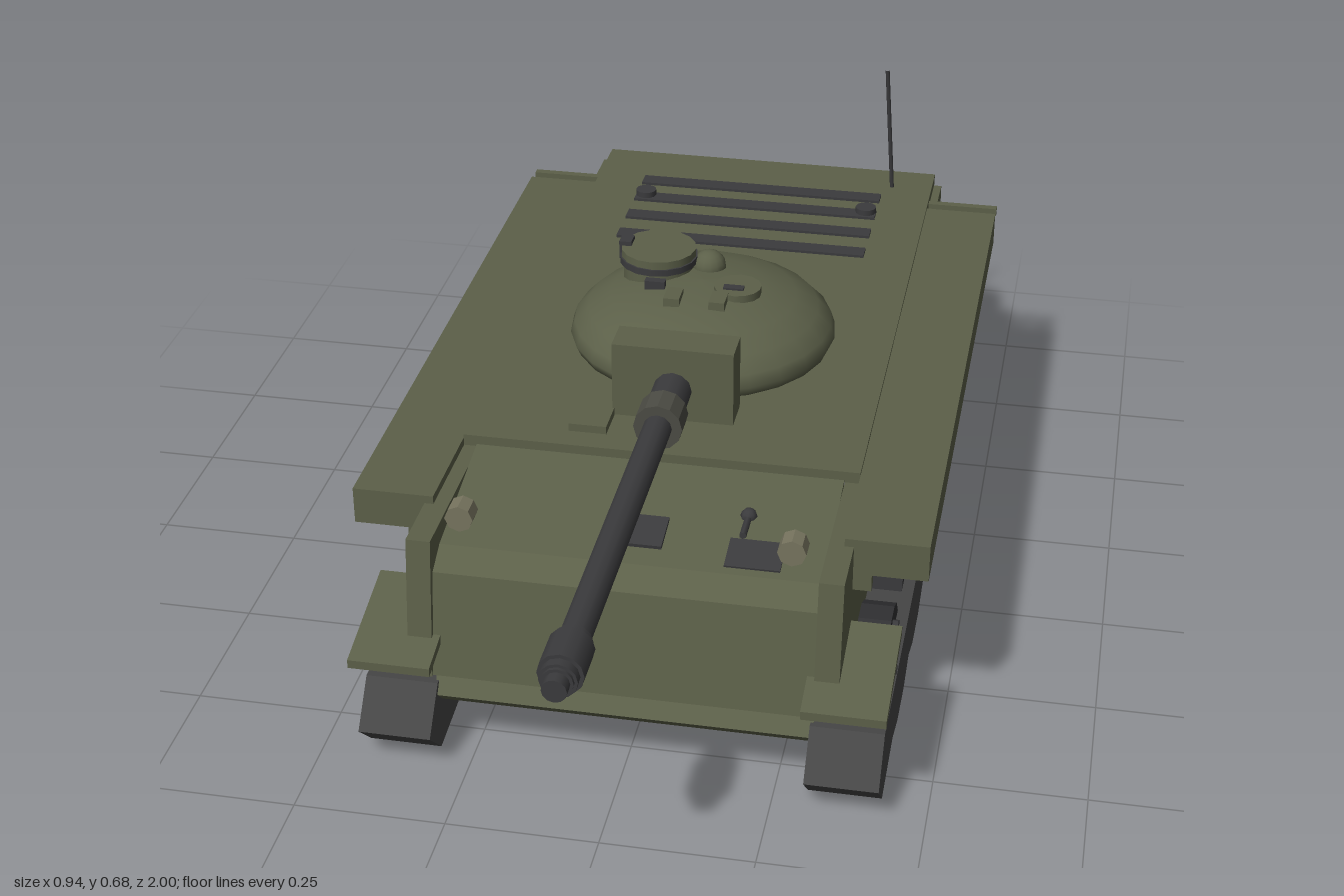
import * as THREE from 'three';

const mat = (color, extra = {}) => new THREE.MeshStandardMaterial({ color, ...extra });
const olive = mat(0x5c6049, { side: THREE.DoubleSide });
const flatOlive = mat(0x5c6049, { flatShading: true });
const steel = mat(0x3b3b3d);
const rubber = mat(0x464646, { flatShading: true });
const wheelMat = mat(0x303032, { flatShading: true });
const lampMat = mat(0x77745f, { flatShading: true });

export function createModel() {
  const model = new THREE.Group();

  const add = (name, geo, material, x = 0, y = 0, z = 0) => {
    const mesh = new THREE.Mesh(geo, material);
    mesh.name = name;
    mesh.position.set(x, y, z);
    model.add(mesh);
    return mesh;
  };
  // Box given by its limits
  const box = (name, material, x0, x1, y0, y1, z0, z1) =>
    add(name, new THREE.BoxGeometry(x1 - x0, y1 - y0, z1 - z0), material,
      (x0 + x1) / 2, (y0 + y1) / 2, (z0 + z1) / 2);
  // Side profile of [z, y] points, extruded across x and centred on x
  const profile = (name, material, points, x, width) => {
    const shape = new THREE.Shape(points.map(p => new THREE.Vector2(...p)));
    const geo = new THREE.ExtrudeGeometry(shape, { depth: width, bevelEnabled: false });
    geo.rotateY(-Math.PI / 2).translate(width / 2, 0, 0);
    return add(name, geo, material, x);
  };
  // Cylinder along one axis
  const cyl = (name, material, axis, r, length, x, y, z, sides = 12) => {
    const geo = new THREE.CylinderGeometry(r, r, length, sides);
    if (axis === 'x') geo.rotateZ(Math.PI / 2);
    if (axis === 'z') geo.rotateX(Math.PI / 2);
    return add(name, geo, material, x, y, z);
  };

  // Hull: an open-bottomed shell of plates
  box('hullRoof', olive, -0.335, 0.335, 0.4, 0.42, -0.93, 0.25);
  profile('upperFrontPlate', olive,
    [[0.26, 0.41], [0.5, 0.365], [0.545, 0.34], [0.575, 0.16], [0.555, 0.16], [0.53, 0.33], [0.26, 0.39]], 0, 0.62);
  profile('lowerFrontPlate', olive,
    [[0.55, 0.155], [0.575, 0.12], [0.55, 0.095], [0.515, 0.135]], 0, 0.62);
  profile('rearPlate', olive,
    [[-0.92, 0.41], [-0.945, 0.16], [-0.925, 0.16], [-0.9, 0.41]], 0, 0.62);

  for (const s of [-1, 1]) {
    // Box between two distances from the centre line, on side s
    const sideBox = (name, material, a, b, y0, y1, z0, z1) =>
      box(name, material, Math.min(s * a, s * b), Math.max(s * a, s * b), y0, y1, z0, z1);

    profile('hullSide', olive,
      [[0.55, 0.4], [0.58, 0.16], [-0.945, 0.16], [-0.92, 0.4]], s * 0.33, 0.04);

    // Sponson: lid, outer skirt and ends, open below
    sideBox('sponsonLid', olive, 0.335, 0.47, 0.4, 0.414, -0.78, 0.44);
    sideBox('sponsonSkirt', olive, 0.458, 0.47, 0.35, 0.4, -0.78, 0.44);
    for (const z of [-0.78, 0.428])
      sideBox('sponsonEnd', olive, 0.35, 0.458, 0.35, 0.4, z, z + 0.012);
    sideBox('sponsonBracket', olive, 0.35, 0.38, 0.32, 0.35, 0.42, 0.44);
    sideBox('rearSponsonPlate', olive, 0.335, 0.47, 0.395, 0.41, -0.825, -0.81);

    // Tilted mudguards
    for (const [z0, z1] of [[0.44, 0.635], [-0.82, -1]])
      profile('mudguard', flatOlive,
        [[z0, 0.26], [z1, 0.215], [z1, 0.2], [z0, 0.244]], s * 0.365, 0.135);

    // Track: flat top, bottom dipping under every road wheel
    const wheelZ = [0.31, 0.08, -0.15, -0.38, -0.61];
    const lower = [[-0.94, 0.012], [-0.84, 0.025]];
    for (const z of [...wheelZ].reverse())
      lower.push([z - 0.115, 0.03], [z - 0.045, 0.008], [z + 0.045, 0.008]);
    profile('track', rubber,
      [[0.57, 0.14], [-0.94, 0.14], [-1, 0.07], ...lower, [0.43, 0.028], [0.57, 0.012], [0.63, 0.07]],
      s * 0.365, 0.12);

    for (const z of wheelZ) {
      cyl('roadWheel', wheelMat, 'x', 0.097, 0.08, s * 0.365, 0.097, z, 14);
      cyl('wheelHub', steel, 'x', 0.013, 0.1, s * 0.365, 0.165, z, 8);
    }
    for (const z of [0.47, -0.84]) {
      cyl('endWheel', wheelMat, 'x', 0.085, 0.075, s * 0.38, 0.135, z, 14);
      for (let i = 0; i < 5; i++) {
        const a = Math.PI * (0.1 + 0.2 * i);
        cyl('wheelBolt', steel, 'x', 0.008, 0.09, s * 0.38, 0.135 + 0.06 * Math.sin(a), z + 0.06 * Math.cos(a), 6);
      }
    }
    // Side fittings
    for (const z of [0.19, -0.56])
      cyl('returnRoller', steel, 'x', 0.022, 0.06, s * 0.375, 0.22, z, 10);
    sideBox('sideTool', steel, 0.348, 0.358, 0.27, 0.282, -0.13, 0.045);
    sideBox('sideLocker', olive, 0.3, 0.365, 0.325, 0.362, -0.59, -0.485);

    // Rear fittings and headlights
    cyl('exhaust', steel, 'x', 0.022, 0.16, s * 0.18, 0.305, -0.97);
    sideBox('rearHook', steel, 0.285, 0.297, 0.3, 0.38, -0.975, -0.93);
    cyl('headlight', lampMat, 'z', 0.023, 0.035, s * 0.265, 0.44, 0.52, 8);
    cyl('engineCap', steel, 'y', 0.02, 0.016, s * 0.22, 0.428, -0.72);
  }
  box('rearBox', olive, -0.24, -0.02, 0.2, 0.275, -0.985, -0.93);

  // Roof and front deck fittings
  for (const z of [-0.79, -0.713, -0.63, -0.545])
    box('engineGrille', steel, -0.24, 0.24, 0.416, 0.425, z - 0.017, z + 0.017);
  box('deckBox', olive, -0.165, -0.1, 0.42, 0.434, 0.14, 0.205);
  box('driverVisor', steel, -0.045, 0.045, 0.35, 0.385, 0.39, 0.46).rotation.x = 0.18;
  box('driverHatch', steel, 0.15, 0.24, 0.36, 0.377, 0.42, 0.485).rotation.x = 0.18;
  cyl('hatchLever', steel, 'z', 0.006, 0.06, 0.17, 0.39, 0.395, 6);
  add('leverKnob', new THREE.SphereGeometry(0.014, 8, 6), steel, 0.17, 0.39, 0.365);

  // Aerial
  const aerialPath = new THREE.LineCurve3(
    new THREE.Vector3(0.256, 0.42, -0.855), new THREE.Vector3(0.24, 0.68, -0.83));
  add('aerial', new THREE.TubeGeometry(aerialPath, 1, 0.004, 6), steel);

  // Turret dome
  const dome = [[0.2, 0.415], [0.228, 0.43], [0.236, 0.448], [0.229, 0.47],
    [0.205, 0.495], [0.165, 0.517], [0.11, 0.532], [0.05, 0.54], [0, 0.542]];
  add('turret', new THREE.LatheGeometry(dome.map(p => new THREE.Vector2(...p)), 24), olive, 0, 0, -0.15);

  // Cupola and turret roof fittings
  cyl('cupolaBase', olive, 'y', 0.064, 0.035, -0.09, 0.535, -0.2, 16);
  cyl('cupolaRing', steel, 'y', 0.07, 0.012, -0.09, 0.555, -0.2, 16);
  cyl('cupolaHatch', olive, 'y', 0.067, 0.014, -0.09, 0.568, -0.2, 16);
  box('cupolaSight', steel, -0.16, -0.138, 0.55, 0.583, -0.22, -0.19);
  add('ventilator', new THREE.SphereGeometry(0.03, 14, 10), olive, 0, 0.54, -0.21);
  cyl('loaderHatch', olive, 'y', 0.042, 0.025, 0.065, 0.534, -0.13, 14);
  for (const x of [-0.04, 0.04])
    box('periscope', olive, x - 0.014, x + 0.014, 0.52, 0.548, -0.1, -0.055);
  for (const x of [-0.08, 0.06])
    box('sightBlock', steel, x - 0.018, x + 0.018, 0.53, 0.55, -0.125, -0.11);

  // Gun with mantlet, sleeve and muzzle brake
  box('mantlet', olive, -0.104, 0.104, 0.42, 0.555, 0.07, 0.137);
  const gunY = 0.478;
  for (const [name, r, z0, z1, m] of [
    ['gunSleeve', 0.033, 0.13, 0.21, steel],
    ['gunCollar', 0.041, 0.21, 0.265, mat(0x4c4c44, { flatShading: true })],
    ['gunBarrel', 0.024, 0.2, 0.98, steel],
    ['muzzleCollar', 0.029, 0.875, 0.975, steel],
    ['muzzleBrake', 0.035, 0.89, 0.96, steel],
    ['muzzleTip', 0.019, 0.96, 1, steel],
  ]) cyl(name, m, 'z', r, z1 - z0, 0, gunY, (z0 + z1) / 2, 12);

  return model;
}
